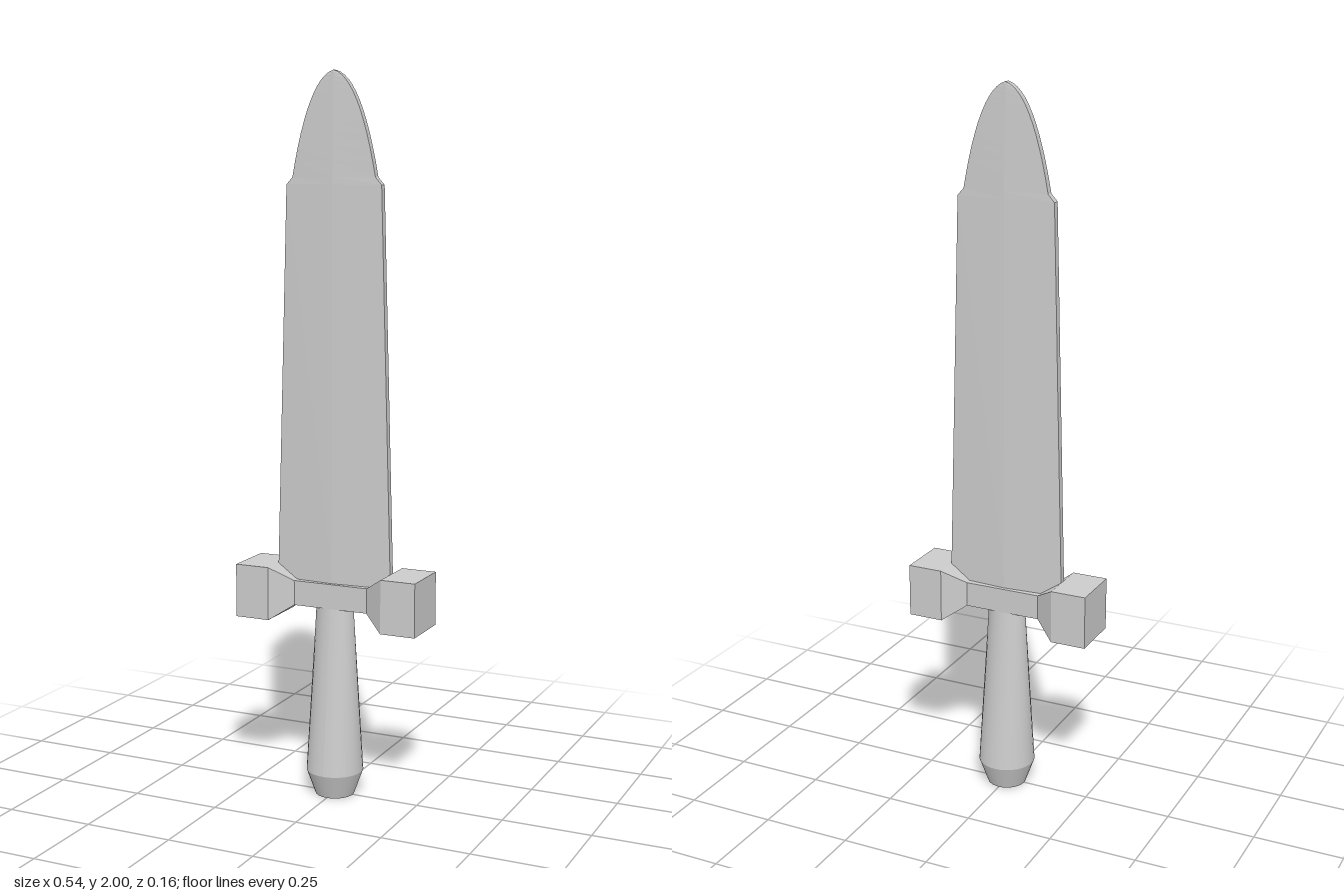
import * as THREE from 'three';

const material = new THREE.MeshStandardMaterial({ color: 0xcccccc });
const flatMaterial = new THREE.MeshStandardMaterial({ color: 0xcccccc, flatShading: true });

// Joins cross-sections (clockwise seen from the last one) into a closed faceted solid
function loft(rings) {
  const positions = [];
  const tri = (a, b, c) => {
    if (new THREE.Triangle(a, b, c).getArea() > 1e-9) {
      for (const p of [a, b, c]) positions.push(p.x, p.y, p.z);
    }
  };
  const n = rings[0].length;
  for (let r = 0; r < rings.length - 1; r++) {
    const lo = rings[r], hi = rings[r + 1];
    for (let i = 0; i < n; i++) {
      const j = (i + 1) % n;
      tri(lo[i], hi[j], lo[j]);
      tri(lo[i], hi[i], hi[j]);
    }
  }
  const first = rings[0], last = rings[rings.length - 1];
  for (let i = 1; i < n - 1; i++) {
    tri(first[0], first[i], first[i + 1]);
    tri(last[0], last[i + 1], last[i]);
  }
  const geometry = new THREE.BufferGeometry();
  geometry.setAttribute('position', new THREE.Float32BufferAttribute(positions, 3));
  geometry.computeVertexNormals();
  return geometry;
}

const v = (x, y, z) => new THREE.Vector3(x, y, z);

// Blade section: blunt edges and a slightly raised central ridge
const bladeRing = (w, y, ridge, edge = 0.01) => [
  v(w, y, edge), v(0, y, ridge), v(-w, y, edge),
  v(-w, y, -edge), v(0, y, -ridge), v(w, y, -edge),
];

// Guard section: a rectangle across x
const guardRing = (x, y0, y1, d) => [v(x, y1, d), v(x, y1, -d), v(x, y0, -d), v(x, y0, d)];

export function createModel() {
  const group = new THREE.Group();
  const add = (name, geometry, mat) => {
    const mesh = new THREE.Mesh(geometry, mat);
    mesh.name = name;
    group.add(mesh);
    return mesh;
  };

  // Blade: long taper, small step at the shoulder, rounded point
  const rings = [bladeRing(0.17, 0.58, 0.022), bladeRing(0.17, 0.65, 0.022), bladeRing(0.14, 1.7, 0.018)];
  const tip = new THREE.QuadraticBezierCurve(
    new THREE.Vector2(0.122, 1.72), new THREE.Vector2(0.075, 1.98), new THREE.Vector2(0, 2));
  for (const p of tip.getPoints(12)) {
    rings.push(bladeRing(p.x, p.y, THREE.MathUtils.mapLinear(p.y, 1.7, 2, 0.018, 0.012)));
  }
  add('blade', loft(rings), flatMaterial);

  // Guard: thin bar flaring into a block at each end
  const half = [[0.27, 0.5, 0.65, 0.076], [0.17, 0.5, 0.65, 0.076], [0.11, 0.54, 0.61, 0.033]];
  const guard = half.map(([x, ...s]) => guardRing(-x, ...s));
  for (const [x, ...s] of [...half].reverse()) guard.push(guardRing(x, ...s));
  add('guard', loft(guard), flatMaterial);

  // Grip: round at the pommel, flattening to an oval under the guard
  const gripGeometry = new THREE.CylinderGeometry(0.055, 0.08, 0.47, 32, 1, true);
  const pos = gripGeometry.attributes.position;
  for (let i = 0; i < pos.count; i++) {
    if (pos.getY(i) > 0) pos.setZ(i, pos.getZ(i) * 0.6);
  }
  gripGeometry.computeVertexNormals();
  add('grip', gripGeometry, material).position.y = 0.305;

  // Pommel
  add('pommel', new THREE.CylinderGeometry(0.08, 0.055, 0.07, 32), material).position.y = 0.035;

  return group;
}
